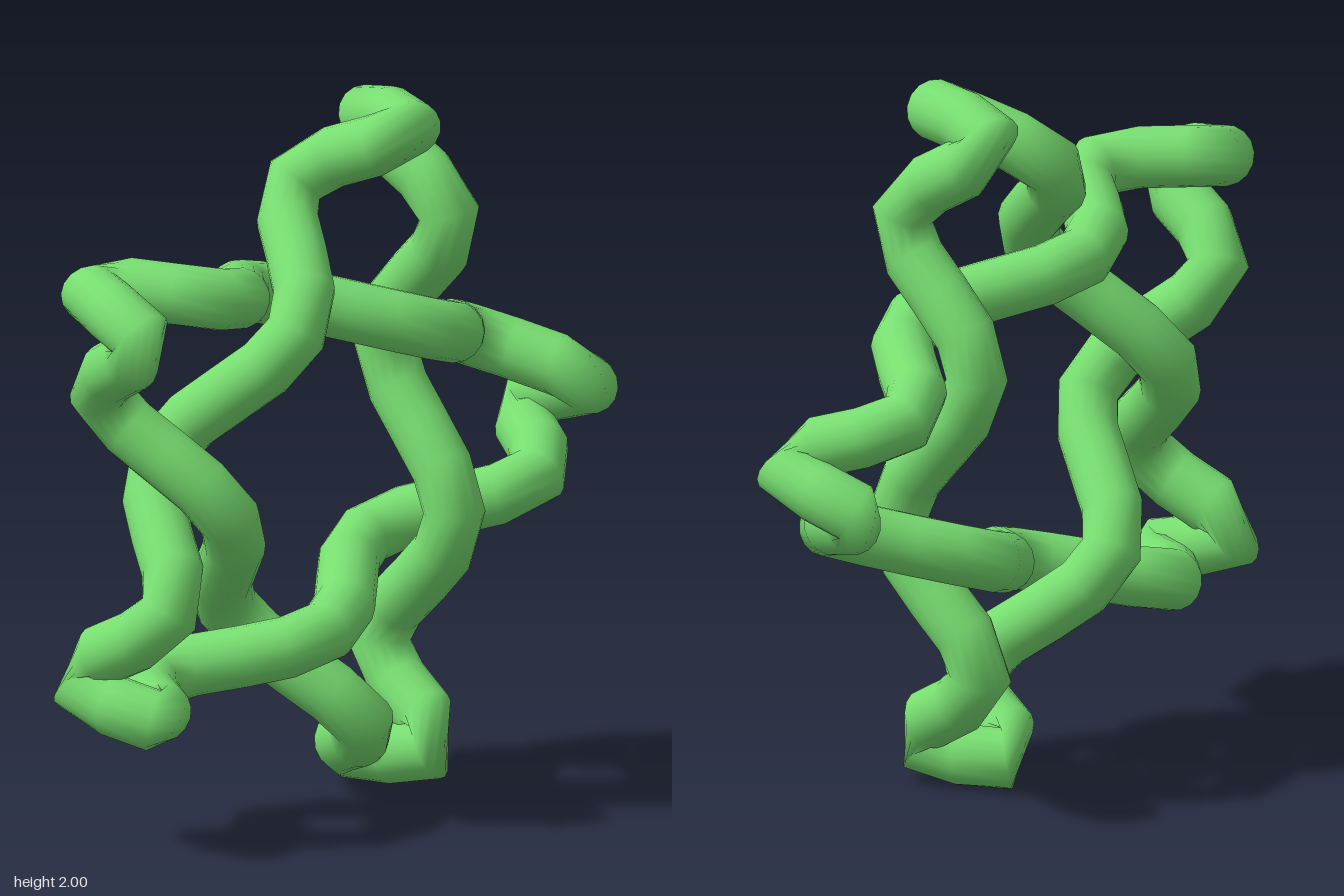
import * as THREE from 'three';

// Five-pointed star knot: a hypotrochoid that weaves in depth three times per arm
class StarKnotCurve extends THREE.Curve {
  getPoint(u, target = new THREE.Vector3()) {
    const t = u * Math.PI * 2;
    const A = 0.686, B = 0.274, depth = 0.137;
    return target.set(
      A * Math.cos(2 * t) + B * Math.cos(3 * t),
      A * Math.sin(2 * t) - B * Math.sin(3 * t),
      depth * Math.sin(15 * t)
    );
  }
}

export function createModel() {
  const group = new THREE.Group();
  group.name = 'starKnot';

  // One closed tube, stepped along its length so the bends stay slightly angular
  const curve = new StarKnotCurve();
  curve.arcLengthDivisions = 1000;
  const tube = new THREE.Mesh(
    new THREE.TubeGeometry(curve, 100, 0.086, 16, true),
    new THREE.MeshStandardMaterial({ color: 0x77dd70 })
  );
  tube.name = 'knotTube';
  tube.position.set(-0.095, 1, 0);
  group.add(tube);
  return group;
}
